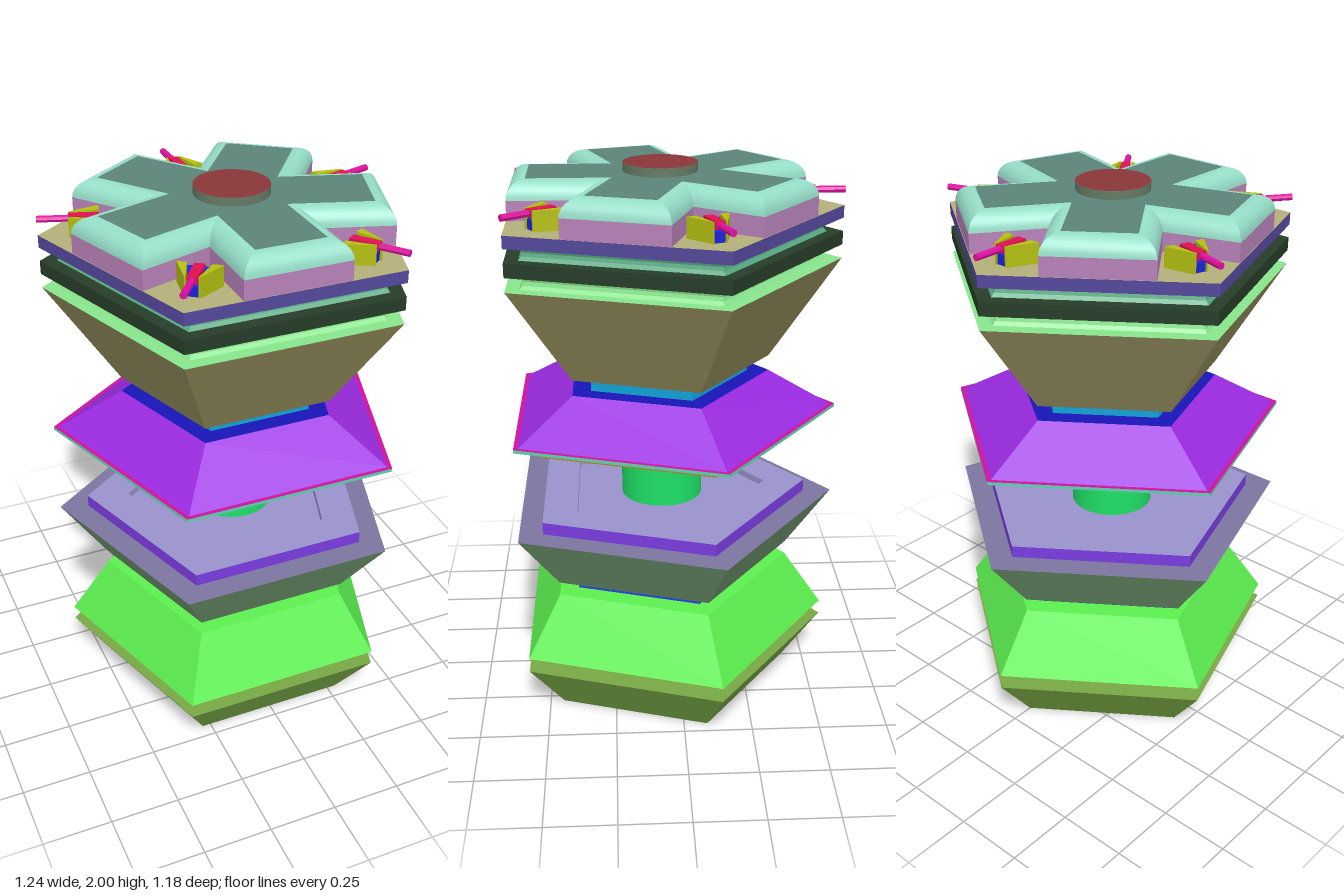
import * as THREE from 'three';
import { toCreasedNormals } from 'three/addons/utils/BufferGeometryUtils.js';

const CORNER = Math.sin(Math.PI * 0.4); // half-width of a pentagon with radius 1
const STEP = Math.PI * 0.4;

function addMesh(parent, name, geometry, color, flat = true) {
  const material = new THREE.MeshStandardMaterial({ color, flatShading: flat });
  const mesh = new THREE.Mesh(geometry, material);
  mesh.name = name;
  parent.add(mesh);
  return mesh;
}

// Five-sided tier from a profile of [half-width, y], listed from bottom to top
function tier(parent, name, color, profile) {
  const points = profile.map(([w, y]) => new THREE.Vector2(w / CORNER, y));
  return addMesh(parent, name, new THREE.LatheGeometry(points, 5, Math.PI), color);
}

// Outline of the five-armed cap, pulled inwards by inset
function starRing(inset, y) {
  const w = 0.185 - inset, end = 0.521 - inset;
  const notch = w / Math.tan(Math.PI / 5);
  const ring = [];
  for (let i = 0; i < 5; i++) {
    for (const [x, z] of [[-w, notch], [-w, end], [w, end]]) {
      ring.push(new THREE.Vector3(x, y, z).applyAxisAngle(new THREE.Vector3(0, 1, 0), i * STEP));
    }
  }
  return ring;
}

function starBand(rings) {
  const pts = [];
  for (let r = 0; r + 1 < rings.length; r++) {
    const low = starRing(...rings[r]), high = starRing(...rings[r + 1]);
    for (let i = 0; i < 15; i++) {
      const j = (i + 1) % 15;
      pts.push(low[i], low[j], high[i], low[j], high[j], high[i]);
    }
  }
  return toCreasedNormals(new THREE.BufferGeometry().setFromPoints(pts), 0.5);
}

function starTop(inset, y) {
  const ring = starRing(inset, y), pts = [];
  ring.forEach((p, i) => pts.push(p, ring[(i + 1) % 15], new THREE.Vector3(0, y, 0)));
  const geometry = new THREE.BufferGeometry().setFromPoints(pts);
  geometry.computeVertexNormals();
  return geometry;
}

// Upright prism from a plan outline of [x, z]
function prism(outline, height) {
  const shape = new THREE.Shape(outline.map(([x, z]) => new THREE.Vector2(x, -z)));
  return new THREE.ExtrudeGeometry(shape, { depth: height, bevelEnabled: false }).rotateX(-Math.PI / 2);
}

// Corner fitting: two wedge cheeks, a sloping core, a barrel and a thin rod
function clamp() {
  const group = new THREE.Group();
  group.name = 'cornerClamp';
  for (const s of [-1, 1]) {
    const cheek = [[s * 0.04, 0.442], [s * 0.075, 0.442], [s * 0.025, 0.542], [s * 0.02, 0.542]];
    addMesh(group, 'clampCheek', prism(cheek, 0.07), 0xb4c010).position.y = 1.84;
  }
  const core = prism([[-0.04, 0.442], [0.04, 0.442], [0.02, 0.535], [-0.02, 0.535]], 0.06);
  const pos = core.attributes.position;
  for (let i = 0; i < pos.count; i++) {
    if (pos.getY(i) > 0.03 && pos.getZ(i) > 0.5) pos.setY(i, 0.035);
  }
  core.computeVertexNormals();
  addMesh(group, 'clampCore', core, 0x1a22d8).position.y = 1.84;
  addMesh(group, 'clampBarrel', new THREE.BoxGeometry(0.034, 0.025, 0.1), 0xe01050).position.set(0, 1.897, 0.492);
  const rod = new THREE.CylinderGeometry(0.012, 0.012, 0.11, 8).rotateX(Math.PI / 2);
  addMesh(group, 'clampRod', rod, 0xe010a0).position.set(0, 1.897, 0.592);
  return group;
}

export function createModel() {
  const model = new THREE.Group();
  model.name = 'pentagonalTower';
  const tower = new THREE.Group();
  tower.name = 'tower';
  tower.position.z = 0.062;
  model.add(tower);

  // Lower stack
  tier(tower, 'footUnderside', 0x050505, [[0, 0], [0.455, 0]]);
  tier(tower, 'foot', 0x78a845, [[0.455, 0], [0.595, 0.19], [0, 0.19]]);
  tier(tower, 'footNeck', 0x109ee0, [[0.45, 0.19], [0.45, 0.245]]);
  tier(tower, 'lowerSkirt', 0x5cf050, [[0, 0.245], [0.595, 0.245], [0.455, 0.465], [0, 0.465]]);
  tier(tower, 'waistNeck', 0x2244e0, [[0.375, 0.465], [0.375, 0.515]]);
  tier(tower, 'lowerBowl', 0x749c72, [[0, 0.515], [0.455, 0.515], [0.615, 0.735]]);
  tier(tower, 'bowlLedge', 0x7c76a0, [[0.615, 0.735], [0.515, 0.735]]);
  tier(tower, 'bowlRim', 0x7a3ce0, [[0.515, 0.735], [0.515, 0.78]]);
  tier(tower, 'bowlTop', 0x9a92cc, [[0.515, 0.78], [0.37, 0.78], [0.37, 0.755], [0, 0.755]]);

  // Central column
  const column = new THREE.CylinderGeometry(0.15, 0.15, 0.32, 40);
  addMesh(tower, 'column', column, 0x1ee066, false).position.y = 0.91;

  // Middle canopy
  tier(tower, 'canopyUnderside', 0x70403a, [[0, 1.055], [0.37, 1.055], [0.37, 1.035], [0.515, 1.035]]);
  tier(tower, 'canopyLowerRim', 0xb88420, [[0.515, 1.035], [0.515, 1.08], [0.615, 1.08]]);
  tier(tower, 'canopyEdge', 0x60d0b0, [[0.615, 1.08], [0.615, 1.092]]);
  tier(tower, 'canopyTrim', 0xd010a0, [[0.615, 1.092], [0.597, 1.092]]);
  tier(tower, 'canopyRoof', 0x9a2ae0, [[0.597, 1.092], [0.375, 1.23]]);
  tier(tower, 'canopyTop', 0x1814b8, [[0.375, 1.23], [0, 1.23]]);
  tier(tower, 'upperNeck', 0x12a2d8, [[0.3, 1.23], [0.3, 1.29]]);

  // Upper bowl and grooved bands
  tier(tower, 'upperBowlUnderside', 0x10107c, [[0, 1.287], [0.375, 1.287]]);
  tier(tower, 'upperBowl', 0x9c9562, [[0.375, 1.287], [0.615, 1.65]]);
  tier(tower, 'lowerGroove', 0x88e48c, [[0.615, 1.65], [0.56, 1.65], [0.548, 1.662], [0.544, 1.675], [0.548, 1.688], [0.56, 1.7]]);
  tier(tower, 'middleBand', 0x263c28, [[0.56, 1.7], [0.615, 1.7], [0.615, 1.748], [0.56, 1.748]]);
  tier(tower, 'upperGroove', 0x55a880, [[0.56, 1.748], [0.548, 1.76], [0.544, 1.772], [0.548, 1.784], [0.56, 1.796]]);
  tier(tower, 'topBand', 0x54489c, [[0.56, 1.796], [0.615, 1.796], [0.615, 1.84]]);
  tier(tower, 'deck', 0xb4b07a, [[0.615, 1.84], [0, 1.84]]);

  // Five-armed cap with a rounded upper edge
  const fillet = [];
  for (let i = 0; i <= 6; i++) {
    const a = (i / 6) * Math.PI / 2;
    fillet.push([0.063 * (1 - Math.cos(a)), 1.908 + 0.062 * Math.sin(a)]);
  }
  addMesh(tower, 'capWalls', starBand([[0, 1.84], [0, 1.908]]), 0xb882ba, false);
  addMesh(tower, 'capFillet', starBand(fillet), 0x96dec8, false);
  addMesh(tower, 'capTop', starTop(0.063, 1.97), 0x5c857a);
  const knob = new THREE.CylinderGeometry(0.13, 0.13, 0.04, 40);
  addMesh(tower, 'knob', knob, 0x647a64, false).position.y = 1.979;
  const knobTop = new THREE.CircleGeometry(0.13, 40).rotateX(-Math.PI / 2);
  addMesh(tower, 'knobTop', knobTop, 0x8a3638).position.y = 2.0;

  // Corner clamps
  for (let i = 0; i < 5; i++) {
    const fitting = clamp();
    fitting.rotation.y = Math.PI + i * STEP;
    tower.add(fitting);
  }
  return model;
}
